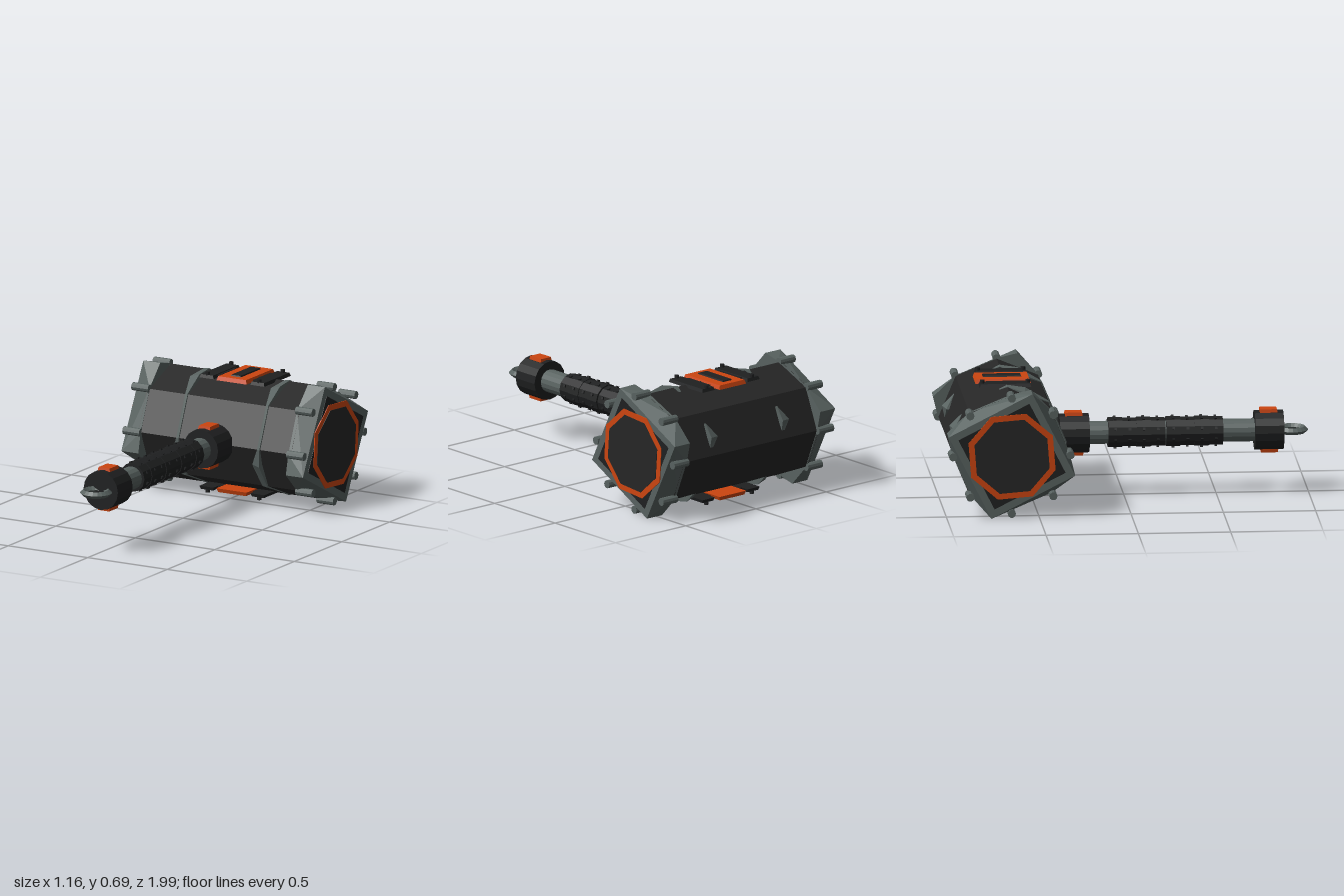
import * as THREE from 'three';
import { ConvexGeometry } from 'three/addons/geometries/ConvexGeometry.js';

const mat = (name, color, side = THREE.FrontSide) => {
  const m = new THREE.MeshStandardMaterial({ color, side, flatShading: true });
  m.name = name;
  return m;
};
const RAD = Math.PI / 180, CY = 0.35, CZ = -0.65, TILT = 72;

export function createModel() {
  const root = new THREE.Group();
  root.name = 'warHammer';
  const iron = mat('black iron', 0x262626);
  const trim = mat('dark trim', 0x1f2021);
  const steel = mat('grey steel', 0x586260, THREE.DoubleSide);
  const orange = mat('orange', 0xcc4510);

  const add = (name, geo, material, x = 0, y = 0, z = 0, parent = root) => {
    const m = new THREE.Mesh(geo, material);
    m.name = name;
    m.position.set(x, y, z);
    parent.add(m);
    return m;
  };
  // Point around the head axis: angle from +z towards +y
  const around = (x, deg, r) =>
    new THREE.Vector3(x, CY + r * Math.sin(deg * RAD), CZ + r * Math.cos(deg * RAD));
  // Prisms along x and along z, first corner at the given angle
  const prismX = (r, len, sides, deg = 0) =>
    new THREE.CylinderGeometry(r, r, len, sides, 1, false, -deg * RAD).rotateZ(-Math.PI / 2);
  const prismZ = (r, len, sides) => new THREE.CylinderGeometry(r, r, len, sides).rotateX(Math.PI / 2);
  // Slab with a narrower top
  const slab = (w, h, d, inset) => {
    const g = new THREE.BoxGeometry(w, h, d), p = g.attributes.position;
    for (let i = 0; i < p.count; i++) {
      if (p.getY(i) > 0) {
        p.setX(i, p.getX(i) - Math.sign(p.getX(i)) * inset);
        p.setZ(i, p.getZ(i) - Math.sign(p.getZ(i)) * inset);
      }
    }
    g.computeVertexNormals();
    return g;
  };

  // Head: octagonal body
  add('headBody', prismX(0.315, 0.96, 8), iron, 0, CY, CZ);

  // End caps: octagon growing into a tilted square, with face plates and studs
  for (const s of [-1, 1]) {
    const cap = new THREE.Group();
    cap.name = s > 0 ? 'leftCap' : 'rightCap';
    root.add(cap);
    const pts = [];
    for (let i = 0; i < 8; i++) pts.push(around(s * 0.464, i * 45, 0.318));
    for (let i = 0; i < 4; i++) {
      pts.push(around(s * 0.464, TILT + i * 90, 0.361), around(s * 0.571, TILT + i * 90, 0.36));
    }
    add('capBlock', new ConvexGeometry(pts), steel, 0, 0, 0, cap);
    add('capInset', prismX(0.305, 0.004, 4, TILT), trim, s * 0.571, CY, CZ, cap);
    add('faceRing', prismX(0.248, 0.006, 8, TILT), orange, s * 0.573, CY, CZ, cap);
    add('facePlate', prismX(0.214, 0.006, 8, TILT), iron, s * 0.5755, CY, CZ, cap);
    for (let i = 0; i < 8; i++) {
      const p = around(s * 0.515, i * 45, 0.318);
      add('capStud', prismX(0.022, 0.105, 10), steel, p.x, p.y, p.z, cap);
    }
  }

  // Steel bands: rows of [angle, x of one edge, x of other edge, height above body]
  const octagon = (deg) => {
    const a = ((deg % 45) + 45) % 45 - 22.5;
    return 0.315 * Math.cos(22.5 * RAD) / Math.cos(a * RAD);
  };
  const band = (rows) => {
    const pos = [];
    const rings = rows.map(([deg, x0, x1, h]) => {
      const r = octagon(deg);
      return [around(x0, deg, r - 0.02), around(x0, deg, r + h * 0.4),
        around(x1, deg, r + h), around(x1, deg, r - 0.02)];
    });
    const quad = (a, b, c, d) => [a, b, c, a, c, d].forEach((v) => pos.push(v.x, v.y, v.z));
    for (let i = 0; i + 1 < rings.length; i++) {
      for (let k = 0; k < 4; k++) {
        const n = (k + 1) % 4;
        quad(rings[i][k], rings[i + 1][k], rings[i + 1][n], rings[i][n]);
      }
    }
    quad(...rings[0]);
    quad(...[...rings[rings.length - 1]].reverse());
    const g = new THREE.BufferGeometry();
    g.setAttribute('position', new THREE.Float32BufferAttribute(pos, 3));
    g.computeVertexNormals();
    return g;
  };
  const frontRows = [
    [98, -0.24, -0.225, 0.002], [90, -0.255, -0.222, 0.006], [72, -0.287, -0.226, 0.03],
    [45, -0.24, -0.222, 0.008], [0, -0.24, -0.222, 0.01], [-18, -0.287, -0.232, 0.034],
    [-45, -0.262, -0.226, 0.008], [-75, -0.235, -0.224, 0.006], [-90, -0.25, -0.224, 0.006],
    [-108, -0.287, -0.23, 0.03], [-122, -0.245, -0.226, 0.002],
  ];
  const backRows = [[146, -0.24, -0.225, 0], [162, -0.287, -0.225, 0.036], [172, -0.25, -0.228, 0]];
  for (const shift of [0, 0.508]) {
    add('frontBand', band(frontRows), steel, shift);
    add('backSpike', band(backRows), steel, shift);
  }

  // Plate sets above and below the head
  for (const s of [1, -1]) {
    const set = new THREE.Group();
    set.name = s > 0 ? 'topPlates' : 'bottomPlates';
    set.position.set(0, CY, CZ);
    if (s < 0) set.rotation.z = Math.PI;
    root.add(set);
    add('orangePlate', slab(0.19, 0.022, 0.3, 0.008), orange, 0, 0.312, -0.01, set);
    add('centreBar', slab(0.07, 0.016, 0.215, 0.006), trim, 0, 0.322, -0.01, set);
    for (const m of [-1, 1]) {
      add('sidePlate', slab(0.088, 0.018, 0.28, 0.006), trim, m * 0.16, 0.311, -0.005, set);
      add('plateLug', new THREE.BoxGeometry(0.016, 0.014, 0.18), trim, m * 0.111, 0.31, -0.005, set);
      for (const z of [-0.128, 0.118]) {
        add('plateRivet', new THREE.CylinderGeometry(0.013, 0.013, 0.026, 10), trim, m * 0.162, 0.323, z, set);
      }
    }
  }

  // Handle rod
  add('handleRod', prismZ(0.063, 1.15, 16), steel, 0, CY, 0.235);

  // Grip: two sleeves of stepped rings with small rivets
  const step = 0.077;
  for (let i = 0; i < 8; i++) {
    const z = -0.087 + step * (i + 0.5) + (i > 3 ? 0.006 : 0);
    const r = i % 2 ? 0.079 : 0.083;
    add('gripRing', prismZ(r, step, 12), trim, 0, CY, z);
    for (let k = 0; k < 8; k++) {
      const a = (k + 0.5) * Math.PI / 4;
      const rivet = add('gripRivet', new THREE.BoxGeometry(0.014, 0.014, 0.014), trim,
        Math.cos(a) * (r - 0.001), CY + Math.sin(a) * (r - 0.001), z);
      rivet.rotation.z = a;
    }
  }

  // Collars with orange inlays
  for (const [name, z, len] of [['headCollar', -0.27, 0.16], ['pommel', 0.785, 0.156]]) {
    add(name, prismZ(0.108, len, 16), trim, 0, CY, z);
    for (const s of [1, -1]) {
      const inlay = add(name + 'Inlay', slab(0.08, 0.03, 0.1, 0.005), orange, 0, CY + s * 0.104, z - s * 0.002);
      if (s < 0) inlay.rotation.z = Math.PI;
    }
  }

  // Hanging ring
  const ring = new THREE.TorusGeometry(0.069, 0.0185, 4, 20).rotateX(Math.PI / 2);
  add('hangingRing', ring, steel, 0, CY, 0.912);

  return root;
}
